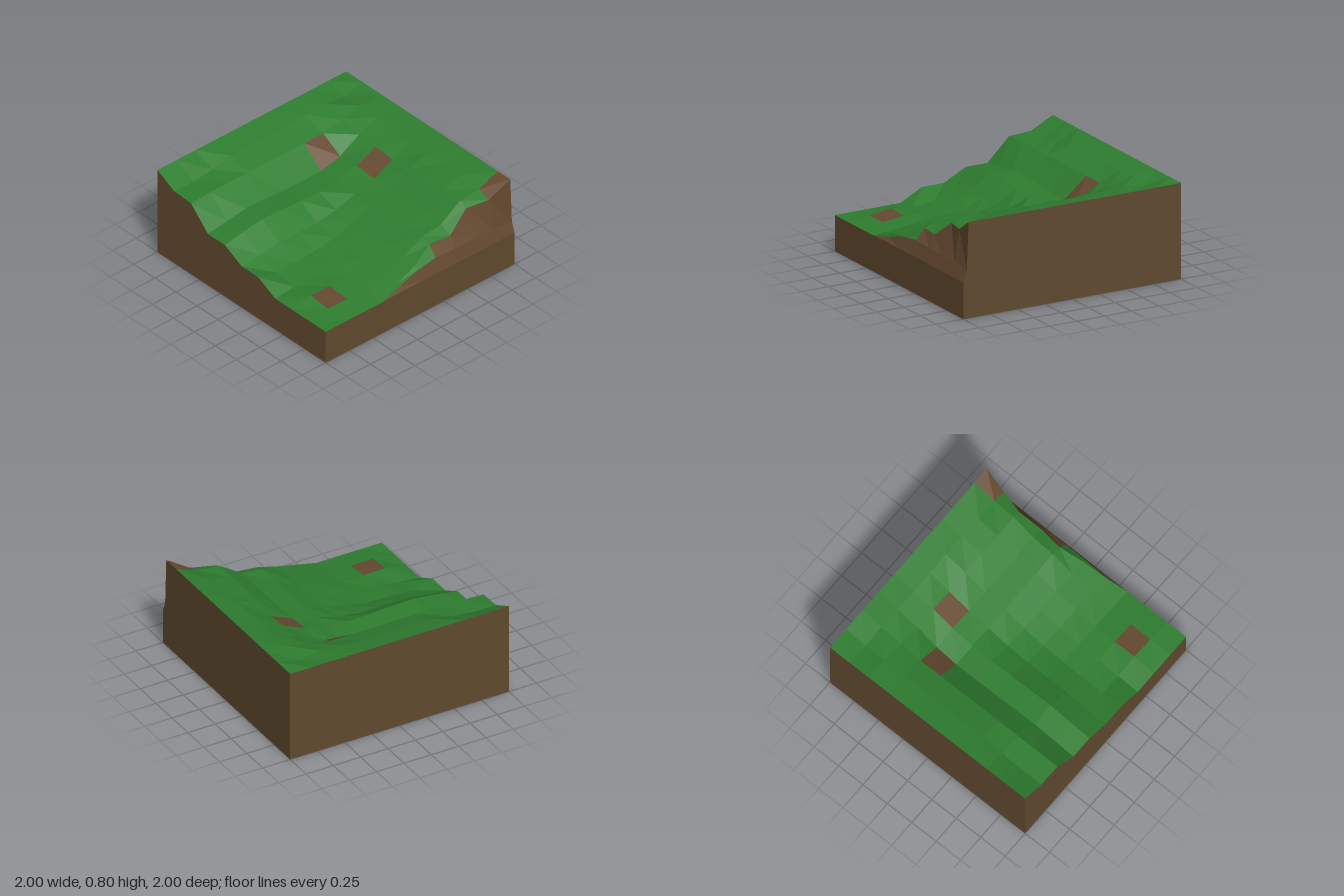
import * as THREE from 'three';

const N = 10;
const at = i => -1 + i * 0.2;

// Surface heights: rows run back to front, columns run x = -1 to 1
const HEIGHTS = [
  [.80, .80, .80, .80, .80, .80, .80, .80, .80, .80, .80],
  [.70, .70, .72, .76, .76, .76, .76, .77, .78, .76, .80],
  [.69, .70, .70, .70, .70, .70, .70, .70, .74, .78, .80],
  [.50, .53, .555, .55, .54, .535, .535, .585, .70, .77, .80],
  [.50, .535, .56, .555, .545, .54, .54, .60, .69, .76, .80],
  [.40, .42, .44, .44, .44, .47, .53, .58, .67, .76, .80],
  [.40, .35, .36, .37, .40, .45, .53, .575, .69, .76, .80],
  [.30, .32, .34, .36, .39, .45, .53, .575, .70, .75, .80],
  [.30, .345, .34, .34, .39, .45, .53, .575, .70, .75, .80],
  [.30, .32, .32, .32, .38, .44, .54, .57, .70, .72, .80],
  [.30, .30, .30, .30, .37, .43, .515, .52, .665, .68, .80],
];
// Cliff at the front: z of the rim, then y and z of the ledge below it
const RIM_Z = [1, 1, 1, 1, .96, .935, .885, .91, .87, .92, .95];
const LEDGE_Y = [.30, .30, .30, .30, .34, .40, .425, .42, .42, .42, .40];
const LEDGE_Z = [1, 1, 1, 1, .975, .965, .96, .965, .965, .965, .968];
const BASE_Y = .305;

// Bare earth cells as column,row
const BARE = new Set(['6,2', '7,4', '1,8', '9,9']);

const top = (i, j) => [at(i), HEIGHTS[j][i], j === N ? RIM_Z[i] : at(j)];
const ledge = i => [at(i), LEDGE_Y[i], LEDGE_Z[i]];
const foot = i => [at(i), i < 4 ? .30 : BASE_Y, 1];

// Flat-faced mesh from polygons with counter-clockwise corners
function facets(name, polygons, material) {
  const pos = [];
  for (const p of polygons) {
    for (let k = 1; k < p.length - 1; k++) pos.push(...p[0], ...p[k], ...p[k + 1]);
  }
  const geo = new THREE.BufferGeometry();
  geo.setAttribute('position', new THREE.Float32BufferAttribute(pos, 3));
  geo.computeVertexNormals();
  const mesh = new THREE.Mesh(geo, material);
  mesh.name = name;
  return mesh;
}

export function createModel() {
  const make = (name, color) => {
    const m = new THREE.MeshStandardMaterial({ color, flatShading: true, side: THREE.DoubleSide });
    m.name = name;
    return m;
  };
  const grass = make('grass green', 0x2e7d30);
  const dirt = make('bare dirt brown', 0x654930);
  const soil = make('soil brown', 0x614a2f);

  // Terrain cells
  const grassCells = [], dirtCells = [];
  for (let j = 0; j < N; j++) {
    for (let i = 0; i < N; i++) {
      const cell = [top(i, j), top(i, j + 1), top(i + 1, j + 1), top(i + 1, j)];
      (BARE.has(`${i},${j}`) ? dirtCells : grassCells).push(cell);
    }
  }

  // Front cliff: grass hangs over its low end, the rest is bare
  const overhang = [], cliff = [];
  for (let i = 3; i < N; i++) {
    (i < 6 ? overhang : cliff).push([top(i, N), ledge(i), ledge(i + 1), top(i + 1, N)]);
    cliff.push([ledge(i), foot(i), foot(i + 1), ledge(i + 1)]);
  }

  // Earth block walls
  const left = [], right = [], back = [], front = [];
  const down = p => [p[0], 0, p[2]];
  for (let k = 0; k < N; k++) {
    const a = top(0, k), b = top(0, k + 1);
    left.push([a, down(a), down(b), b]);
    const c = top(N, k), d = top(N, k + 1);
    right.push([c, d, down(d), down(c)]);
    const e = top(k, 0), f = top(k + 1, 0);
    back.push([e, f, down(f), down(e)]);
    front.push([foot(k), down(foot(k)), down(foot(k + 1)), foot(k + 1)]);
  }
  // Right wall follows the cliff outline
  right.push([down(top(N, N)), top(N, N), ledge(N), foot(N), down(foot(N))]);
  const bottom = [[[-1, 0, -1], [1, 0, -1], [1, 0, 1], [-1, 0, 1]]];

  const group = new THREE.Group();
  group.name = 'terrainTile';
  group.add(
    facets('grassSurface', grassCells, grass),
    facets('barePatches', dirtCells, dirt),
    facets('grassOverhang', overhang, grass),
    facets('frontCliff', cliff, dirt),
    facets('leftWall', left, soil),
    facets('rightWall', right, soil),
    facets('backWall', back, soil),
    facets('frontWall', front, soil),
    facets('bottom', bottom, soil),
  );
  return group;
}
